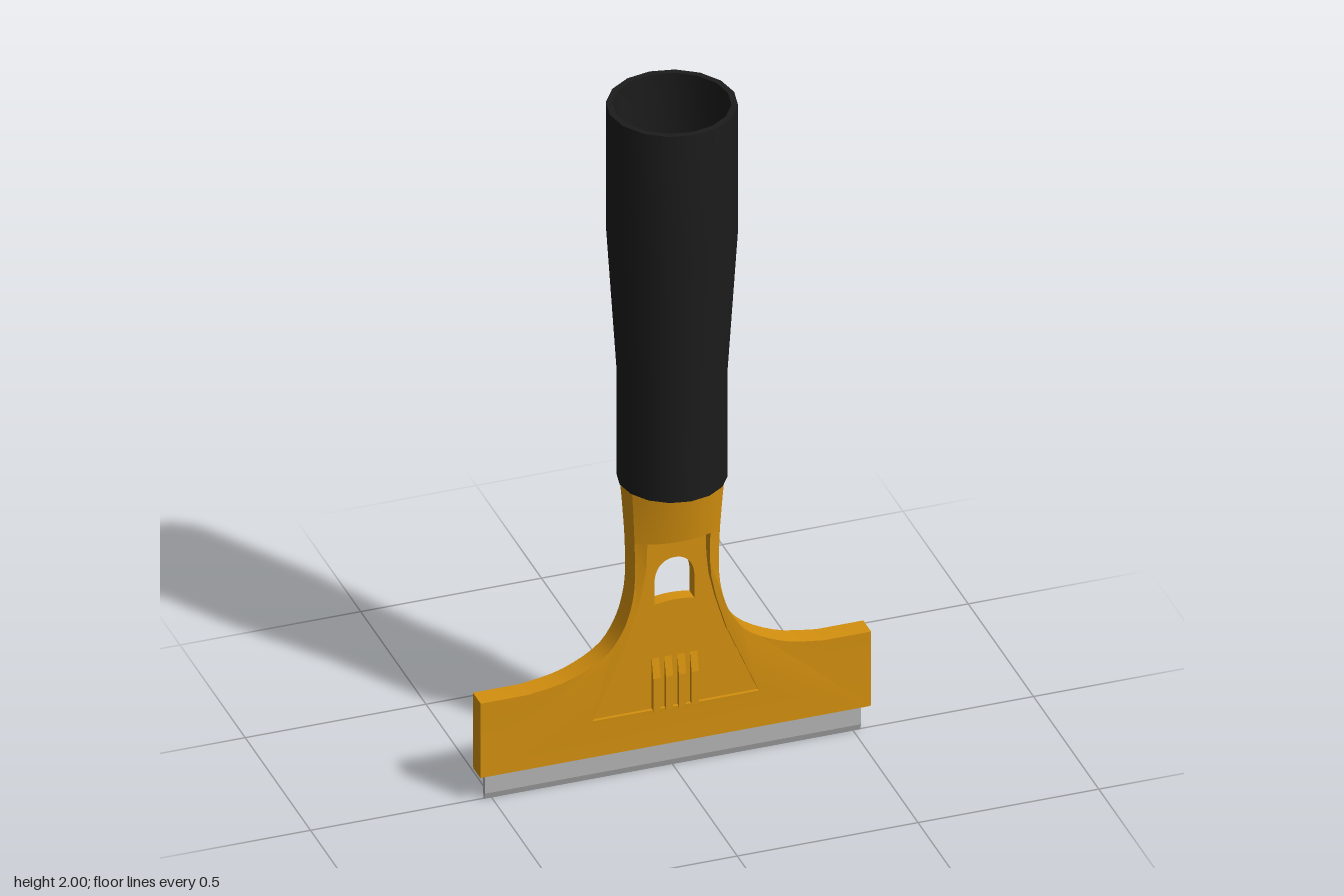
import * as THREE from 'three';
import { toCreasedNormals, mergeVertices } from 'three/addons/utils/BufferGeometryUtils.js';

const gold = new THREE.MeshStandardMaterial({ color: 0xd4900f });
const black = new THREE.MeshStandardMaterial({ color: 0x1c1c1c });
const steel = new THREE.MeshStandardMaterial({ color: 0xb4b4b4 });

const V = (x, y) => new THREE.Vector2(x, y);

// Linear interpolation through [position, value] pairs
function ramp(table, t) {
  if (t <= table[0][0]) return table[0][1];
  for (let i = 1; i < table.length; i++) {
    const [a, va] = table[i - 1], [b, vb] = table[i];
    if (t <= b) return va + (vb - va) * (t - a) / (b - a);
  }
  return table[table.length - 1][1];
}

// Half thickness of the body: thin flanks, with a crown that grows up the neck
const LEDGE = 0.71;
const edgeT = y => ramp([[0.08, 0.027], [0.31, 0.03], [0.5, 0.035], [LEDGE, 0.04], [0.9, 0.05]], y);
const crown = y => ramp([[0.48, 0], [LEDGE, 0.028], [0.88, 0.047]], y);
const neckW = y => ramp([[0.6, 0.116], [LEDGE, 0.118], [0.8, 0.123], [0.9, 0.13]], y);
const halfT = (x, y) => edgeT(y) + crown(y) * Math.max(0, 1 - (x / neckW(y)) ** 2);

function moveVertices(geo, rule) {
  const p = geo.attributes.position;
  for (let i = 0; i < p.count; i++) p.setXYZ(i, ...rule(p.getX(i), p.getY(i), p.getZ(i)));
  geo.computeVertexNormals();
  return geo;
}

function plate(shape, depth) {
  const geo = new THREE.ExtrudeGeometry(shape, { depth, bevelEnabled: false, curveSegments: 10 });
  return geo.translate(0, 0, -depth / 2);
}

function add(parent, name, geo, mat) {
  const mesh = new THREE.Mesh(geo, mat);
  mesh.name = name;
  parent.add(mesh);
  return mesh;
}

export function createModel() {
  const model = new THREE.Group();
  model.name = 'scraper';
  const mirror = pts => pts.map(p => V(-p.x, p.y)).reverse();

  // Right-hand halves of the body outline and of the recessed panel
  const flare = new THREE.SplineCurve([
    V(0.41, 0.307), V(0.3, 0.327), V(0.2, 0.378), V(0.15, 0.445),
    V(0.125, 0.52), V(0.116, 0.6), V(0.118, LEDGE)]).getPoints(22);
  const outline = [V(0.54, 0.08), V(0.54, 0.307), ...flare];
  const panel = [V(0.23, 0.19), V(0.14, 0.4), V(0.11, 0.5), V(0.094, 0.57), V(0.088, 0.63), V(0.087, LEDGE)];

  // Body frame: outline minus the panel, thickened by the rule
  const frame = new THREE.Shape([
    ...outline, ...[...panel].reverse(), ...mirror(panel).reverse(), ...mirror(outline)]);
  const frameGeo = moveVertices(plate(frame, 2), (x, y, z) => [x, y, z * halfT(x, y)]);
  add(model, 'bodyFrame', toCreasedNormals(frameGeo, 0.5), gold);

  // Recessed panel with the arched hanging hole
  const core = new THREE.Shape([...panel, ...mirror(panel)]);
  const hole = new THREE.Path();
  hole.moveTo(-0.055, 0.502);
  hole.quadraticCurveTo(0, 0.514, 0.055, 0.502);
  hole.lineTo(0.055, 0.575);
  hole.bezierCurveTo(0.052, 0.615, 0.03, 0.636, 0, 0.636);
  hole.bezierCurveTo(-0.03, 0.636, -0.052, 0.615, -0.055, 0.575);
  hole.closePath();
  core.holes.push(hole);
  add(model, 'recessedPanel', toCreasedNormals(plate(core, 0.038), 0.5), gold);

  // Crowned neck above the panel, reaching into the handle
  const neck = new THREE.BoxGeometry(2, 0.19, 2, 16, 8, 1).translate(0, LEDGE + 0.095, 0);
  moveVertices(neck, (x, y, z) => [x * neckW(y), y, z * halfT(x * neckW(y), y)]);
  add(model, 'neck', neck, gold);

  // Grip ribs on both faces, running out at the top
  const ribProfile = new THREE.Shape([
    V(-0.031, 0.185), V(0.031, 0.185), V(0.031, 0.285), V(0.018, 0.345), V(-0.018, 0.345), V(-0.031, 0.285)]);
  const ribGeo = plate(ribProfile, 0.02).rotateY(Math.PI / 2);
  for (const x of [-0.053, -0.018, 0.018, 0.053]) {
    add(model, 'gripRib', ribGeo, gold).position.x = x;
  }

  // Blade with a bevelled cutting edge
  const bladeProfile = new THREE.Shape([
    V(-0.002, 0), V(0.002, 0), V(0.008, 0.018), V(0.008, 0.1), V(-0.008, 0.1), V(-0.008, 0.018)]);
  add(model, 'blade', plate(bladeProfile, 1.04).rotateY(Math.PI / 2), steel);

  // Hollow sixteen-sided handle, open at the top
  const profile = [
    V(0, 0.875), V(0.145, 0.875), V(0.145, 1.2), V(0.172, 1.62), V(0.172, 2),
    V(0.155, 2), V(0.155, 1.62), V(0.128, 1.2), V(0.128, 0.92), V(0, 0.92)];
  const handle = new THREE.LatheGeometry(profile, 16);
  add(model, 'handle', toCreasedNormals(handle, 0.6), black);

  return model;
}
